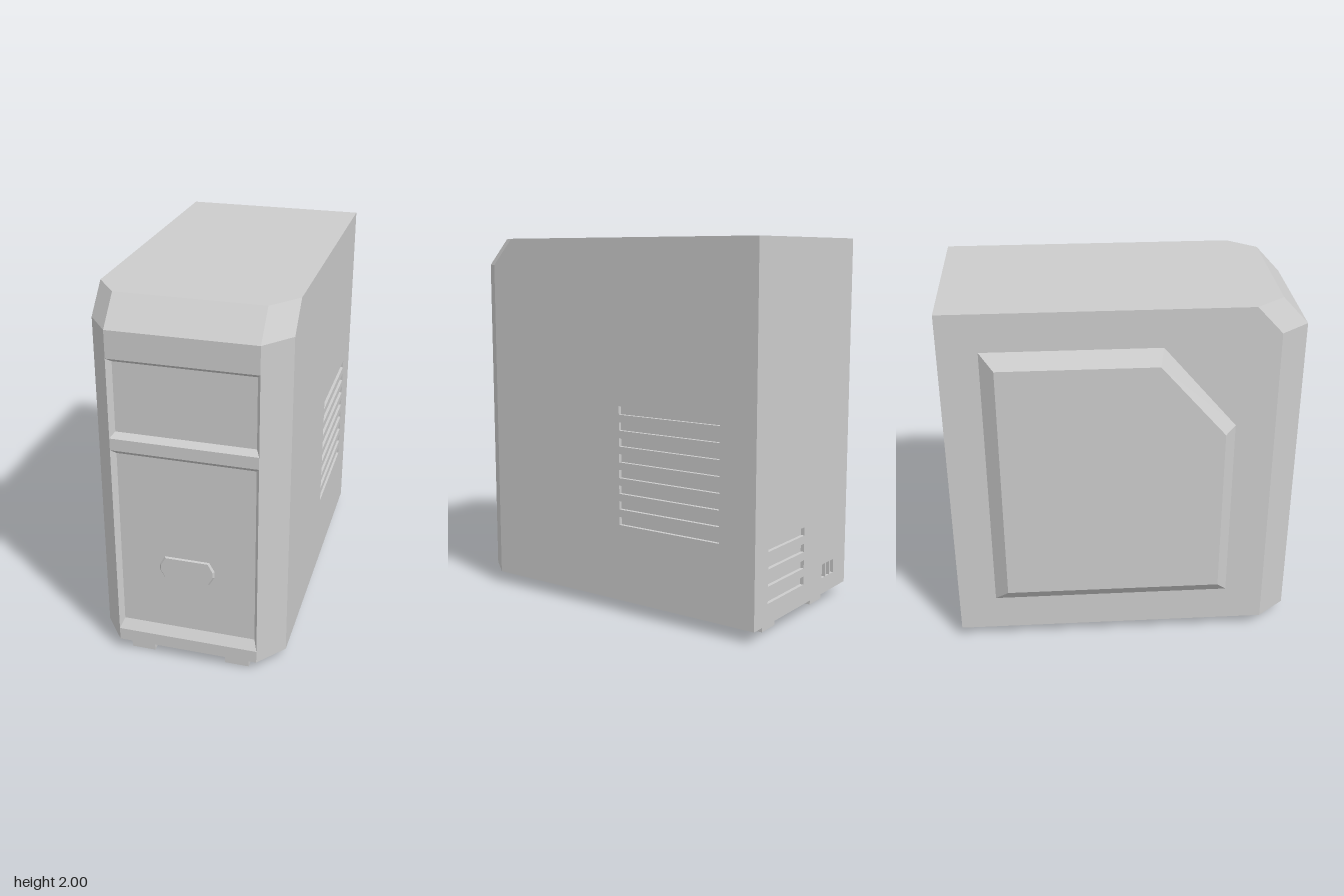
import * as THREE from 'three';

const material = new THREE.MeshStandardMaterial({ color: 0xcccccc });

// Flat-shaded mesh from a list of convex polygons (corners counter-clockwise from outside)
function polyMesh(name, polygons) {
  const pos = [];
  for (const p of polygons)
    for (let i = 1; i < p.length - 1; i++) pos.push(...p[0], ...p[i], ...p[i + 1]);
  const geo = new THREE.BufferGeometry();
  geo.setAttribute('position', new THREE.Float32BufferAttribute(pos, 3));
  geo.computeVertexNormals();
  const mesh = new THREE.Mesh(geo, material);
  mesh.name = name;
  return mesh;
}

const rect = (x0, y0, x1, y1) => [[x0, y0], [x1, y0], [x1, y1], [x0, y1]];

// Raised (d > 0) or sunken (d < 0) panel: sloped walls from outer to inner loop, plus a cap
function step(name, outer, inner, d, z = 0) {
  const walls = outer.map((p, i) => {
    const j = (i + 1) % outer.length;
    return [[...p, z], [...outer[j], z], [...inner[j], z + d], [...inner[i], z + d]];
  });
  return polyMesh(name, [...walls, inner.map((p) => [...p, z + d])]);
}

// Flat wall with sunken slots, drawn in its own xy plane and facing +z
function slottedWall(name, outline, slots, depth) {
  const toPts = (loop) => loop.map(([x, y]) => new THREE.Vector2(x, y));
  const shape = new THREE.Shape(toPts(outline));
  slots.forEach((s) => shape.holes.push(new THREE.Path(toPts(s))));
  const group = new THREE.Group();
  group.name = name;
  const wall = new THREE.Mesh(new THREE.ShapeGeometry(shape), material);
  wall.name = name + 'Sheet';
  group.add(wall);
  slots.forEach((s) => group.add(step('slot', s, s, -depth)));
  return group;
}

export function createModel() {
  const model = new THREE.Group();
  model.name = 'computerTower';

  const X0 = -0.47, X1 = 0.535, FX0 = -0.35, FX1 = 0.41;
  const Y0 = 0.065, YC = 1.855, Y1 = 2;
  const ZB = -0.94, ZS = 0.785, ZF = 0.938, CUT = 0.135;

  // Case shell: six-sided section, front edge pulled back at the top
  const ring = (y, back) => [
    [X0, y, ZB], [X0, y, ZS - back], [FX0, y, ZF - back],
    [FX1, y, ZF - back], [X1, y, ZS - back], [X1, y, ZB],
  ];
  const low = ring(Y0, 0), mid = ring(YC, 0), top = ring(Y1, CUT);
  const side = (a, b, i) => [a[i], a[i + 1], b[i + 1], b[i]];
  model.add(polyMesh('caseShell', [
    top, [...low].reverse(),
    ...[0, 1, 3].map((i) => side(low, mid, i)),
    ...[0, 1, 2, 3].map((i) => side(mid, top, i)),
  ]));

  // Side wall with ventilation slots
  const sideSlots = [];
  for (let i = 0; i < 8; i++) {
    const y = 0.483 + i * 0.0853;
    sideSlots.push(rect(0.1, y, 0.73, y + 0.045));
  }
  const sideWall = slottedWall('ventedSide',
    [[-ZS, Y0], [-ZB, Y0], [-ZB, Y1], [CUT - ZS, Y1], [-ZS, YC]], sideSlots, 0.02);
  sideWall.rotation.y = Math.PI / 2;
  sideWall.position.x = X1;
  model.add(sideWall);

  // Back wall with vents and a row of small ports
  const backSlots = [];
  for (let i = 0; i < 4; i++) {
    const y = 0.175 + i * 0.09;
    backSlots.push(rect(-0.403, y, -0.024, y + 0.045));
  }
  for (let i = 0; i < 3; i++) {
    const x = 0.19 + i * 0.049;
    backSlots.push(rect(x, 0.155, x + 0.038, 0.232));
  }
  const backWall = slottedWall('backWall', rect(-X1, Y0, -X0, Y1), backSlots, 0.02);
  backWall.rotation.y = Math.PI;
  backWall.position.z = ZB;
  model.add(backWall);

  // Front: flat strips between two bevelled recesses
  const DEPTH = 0.035;
  const strips = [[Y0, 0.135], [1.22, 1.285], [1.71, YC]];
  model.add(polyMesh('frontStrips', strips.map(([a, b]) =>
    rect(FX0, a, FX1, b).map((p) => [...p, ZF]))));
  model.add(step('driveBay', rect(FX0, 1.285, FX1, 1.71),
    rect(-0.33, 1.31, 0.39, 1.685), -DEPTH, ZF));
  model.add(step('lowerFrontPanel', rect(FX0, 0.135, FX1, 1.22),
    rect(-0.33, 0.185, 0.39, 1.19), -DEPTH, ZF));

  // Small raised plate with cut corners
  const plate = (x0, y0, x1, y1, cx, cy) => [
    [x0 + cx, y0], [x1 - cx, y0], [x1, y0 + cy], [x1, y1 - cy],
    [x1 - cx, y1], [x0 + cx, y1], [x0, y1 - cy], [x0, y0 + cy],
  ];
  model.add(step('frontPlate', plate(-0.12, 0.485, 0.175, 0.62, 0.028, 0.05),
    plate(-0.112, 0.49, 0.167, 0.615, 0.026, 0.048), 0.01, ZF - DEPTH));

  // Raised side cover with one corner cut off
  const cover = step('sideCover',
    [[-0.735, 0.27], [0.575, 0.27], [0.575, 1.34], [0.19, 1.795], [-0.735, 1.795]],
    [[-0.66, 0.355], [0.515, 0.355], [0.515, 1.32], [0.17, 1.72], [-0.66, 1.72]], 0.068);
  cover.rotation.y = -Math.PI / 2;
  cover.position.x = X0;
  model.add(cover);

  // Feet
  for (const x of [-0.23, 0.295])
    for (const z of [0.81, -0.792]) {
      const foot = new THREE.Mesh(new THREE.BoxGeometry(0.13, Y0, 0.183), material);
      foot.name = 'foot';
      foot.position.set(x, Y0 / 2, z);
      model.add(foot);
    }

  return model;
}
